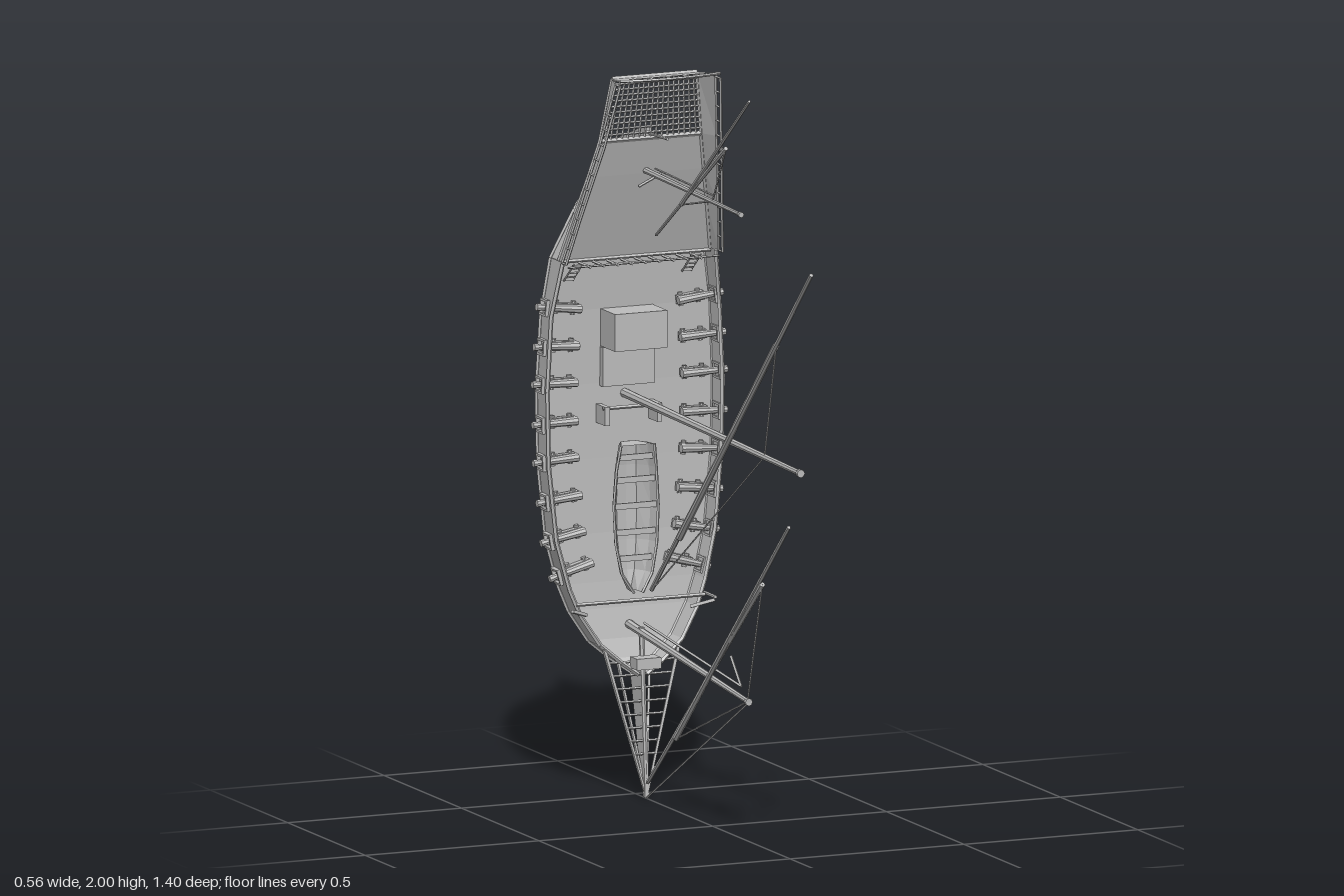
import * as THREE from 'three';

const grey = new THREE.MeshStandardMaterial({ color: 0xbcbcbc, flatShading: true, side: THREE.DoubleSide });
grey.name = 'plain grey';

const V = (p) => new THREE.Vector3(...p);
function add(parent, name, geometry) {
  const mesh = new THREE.Mesh(geometry, grey);
  mesh.name = name;
  parent.add(mesh);
  return mesh;
}
function box(parent, name, size, pos) {
  const m = add(parent, name, new THREE.BoxGeometry(...size));
  m.position.set(...pos);
  return m;
}
// Round or square bar between two points
function bar(parent, name, a, b, r1, r2 = r1, sides = 6) {
  const p = V(a), q = V(b), d = q.clone().sub(p);
  const m = add(parent, name, new THREE.CylinderGeometry(r2, r1, d.length(), sides));
  m.position.copy(p).add(q).multiplyScalar(0.5);
  m.quaternion.setFromUnitVectors(new THREE.Vector3(0, 1, 0), d.normalize());
  return m;
}
function chain(parent, name, pts, r, sides = 4) {
  for (let i = 1; i < pts.length; i++) bar(parent, name, pts[i - 1], pts[i], r, r, sides);
}
// Skin stretched over equal-length rows of points
function loft(parent, name, rows) {
  const n = rows[0].length, index = [];
  for (let i = 0; i < rows.length - 1; i++)
    for (let j = 0; j < n - 1; j++) {
      const a = i * n + j, b = a + n;
      index.push(a, a + 1, b, a + 1, b + 1, b);
    }
  const g = new THREE.BufferGeometry();
  g.setAttribute('position', new THREE.Float32BufferAttribute(rows.flat(2), 3));
  g.setIndex(index);
  g.computeVertexNormals();
  return add(parent, name, g);
}
// Thin plate in the z-y plane
function plate(parent, name, zy, t) {
  const s = new THREE.Shape(zy.map(([z, y]) => new THREE.Vector2(-z, y)));
  const g = new THREE.ExtrudeGeometry(s, { depth: t, bevelEnabled: false });
  g.translate(0, 0, -t / 2).rotateY(Math.PI / 2);
  return add(parent, name, g);
}

// Hull stations: y, half breadth, keel z, wale z, rail z, sharpness
const stations = [
  [0.335, 0.012, -0.51, -0.5, -0.45, 1], [0.37, 0.06, -0.575, -0.52, -0.452, 1.4],
  [0.42, 0.118, -0.645, -0.535, -0.46, 1.5], [0.5, 0.168, -0.685, -0.55, -0.475, 1.3],
  [0.57, 0.195, -0.698, -0.558, -0.485, 1.1], [0.7, 0.228, -0.7, -0.565, -0.495, 1],
  [0.9, 0.248, -0.7, -0.568, -0.5, 1], [1.1, 0.252, -0.7, -0.568, -0.5, 1],
  [1.3, 0.242, -0.7, -0.562, -0.498, 1.2], [1.45, 0.22, -0.7, -0.55, -0.472, 1.7],
  [1.58, 0.16, -0.7, -0.53, -0.43, 2.5], [1.7, 0.06, -0.7, -0.505, -0.4, 3.5],
  [1.755, 0.009, -0.545, -0.486, -0.38, 2],
];
// Linear lookup through [y, value...] rows
function at(rows, y, k) {
  let i = 1;
  while (i < rows.length - 1 && rows[i][0] < y) i++;
  const a = rows[i - 1], b = rows[i];
  return a[k] + (b[k] - a[k]) * (y - a[0]) / (b[0] - a[0]);
}
// Poop: y, floor half width, floor z, wall half width, wall top z, rail z
const poop = [
  [1.45, 0.218, -0.505, 0.225, -0.467, -0.44], [1.58, 0.19, -0.464, 0.203, -0.42, -0.396],
  [1.68, 0.167, -0.432, 0.186, -0.386, -0.358], [1.78, 0.146, -0.403, 0.168, -0.352, -0.322],
  [1.95, 0.122, -0.376, 0.144, -0.302, -0.272],
];

function buildHull(g) {
  const steps = 4;
  loft(g, 'hull', stations.map(([y, b, zk, zw, , q]) => {
    const row = [];
    for (let j = -steps; j <= steps; j++) {
      const t = (j / steps) * Math.PI / 2;
      row.push([Math.sign(j) * b * Math.abs(Math.sin(t)) ** q, y, zk + (zw - zk) * (1 - Math.cos(t))]);
    }
    return row;
  }));
  const front = stations.slice(0, 10);
  loft(g, 'mainDeck', front.map(([y, b, , zw]) => [[-b, y, zw], [b, y, zw]]));
  for (const s of [-1, 1]) {
    loft(g, 'bulwark', front.map(([y, b, , zw, zr]) => [[s * b, y, zw], [s * (b + 0.003), y, zr]]));
    chain(g, 'bulwarkRail', front.map(([y, b, , , zr]) => [s * b, y, zr]), 0.006);
    chain(g, 'wale', stations.map(([y, b, , zw]) => [s * (b + 0.002), y, zw]), 0.005);
  }
  plate(g, 'rudder', [[-0.7, 1.55], [-0.7, 1.71], [-0.42, 1.81], [-0.42, 1.775], [-0.5, 1.7]], 0.016);
}

function buildPoop(g) {
  const solid = poop.slice(0, 4);
  loft(g, 'poopDeck', solid.map(([y, w, f]) => [[-w, y, f], [w, y, f]]));
  for (const s of [-1, 1]) {
    loft(g, 'counter', solid.map(([y, w, f]) => {
      const low = Math.min(y, 1.755);
      return [[s * at(stations, low, 1), low, at(stations, low, 3)], [s * w, y, f]];
    }));
    loft(g, 'poopWall', poop.map(([y, w, f, v, t]) => [[s * w, y, f], [s * v, y, t]]));
    chain(g, 'poopWallCap', poop.map(([y, , , v, t]) => [s * v, y, t]), 0.004);
    chain(g, 'poopSill', poop.map(([y, w, f]) => [s * w, y, f]), 0.005);
    chain(g, 'poopRail', poop.map(([y, , , v, , r]) => [s * v, y, r]), 0.004);
    for (let i = 0; i <= 12; i++) {
      const y = 1.45 + i * 0.0416;
      const x = s * at(poop, y, 3);
      bar(g, 'poopBaluster', [x, y, at(poop, y, 4)], [x, y, at(poop, y, 5)], 0.003, 0.003, 4);
    }
    // Ladder up to the poop
    for (const dx of [-0.013, 0.013]) bar(g, 'ladderSide', [s * 0.17 + dx, 1.385, -0.55], [s * 0.17 + dx, 1.44, -0.485], 0.003, 0.003, 4);
    for (let i = 0; i < 4; i++) box(g, 'ladderStep', [0.026, 0.008, 0.005], [s * 0.17, 1.39 + i * 0.014, -0.543 + i * 0.016]);
  }
  // Break of the poop with its post rail
  loft(g, 'poopBulkhead', [[[-0.218, 1.45, -0.55], [0.218, 1.45, -0.55]], [[-0.218, 1.45, -0.505], [0.218, 1.45, -0.505]]]);
  bar(g, 'breakBeam', [-0.218, 1.445, -0.505], [0.218, 1.445, -0.505], 0.005, 0.005, 4);
  bar(g, 'breakRail', [-0.218, 1.44, -0.445], [0.218, 1.44, -0.445], 0.003, 0.003, 4);
  for (let i = -4; i <= 4; i++) bar(g, 'breakPost', [i * 0.04, 1.44, -0.505], [i * 0.04, 1.44, -0.43], 0.004, 0.004, 4);
  // Open grating under the overhang
  for (const y of [1.78, 1.95]) {
    const w = at(poop, y, 1), z = at(poop, y, 2);
    bar(g, 'gratingBeam', [-w, y, z], [w, y, z], 0.007, 0.007, 4);
  }
  for (let i = -8; i <= 8; i++)
    bar(g, 'gratingBar', [i * 0.0164, 1.78, -0.403], [i * 0.014, 1.95, -0.376], 0.0035, 0.0035, 4);
  for (let i = 1; i < 11; i++) {
    const y = 1.78 + i * 0.01545, w = at(poop, y, 1), z = at(poop, y, 2);
    bar(g, 'gratingCrossbar', [-w, y, z], [w, y, z], 0.0035, 0.0035, 4);
  }
  // Transom board and arched taffrail
  loft(g, 'transom', [[[-0.122, 1.95, -0.376], [0.122, 1.95, -0.376]], [[-0.144, 1.96, -0.302], [0.144, 1.96, -0.302]]]);
  const arch = (i) => [i * 0.024, 1.963, -0.254 - 0.02 * (i / 6) ** 2];
  const pts = [];
  for (let i = -6; i <= 6; i++) {
    pts.push(arch(i));
    if (i % 2 === 0) bar(g, 'taffrailPost', [i * 0.024, 1.96, -0.302], arch(i), 0.003, 0.003, 4);
  }
  chain(g, 'taffrail', pts, 0.004);
  bar(g, 'tiller', [0, 1.79, -0.41], [0, 1.795, -0.29], 0.004);
}

function buildBeak(g) {
  const tip = [0, 0.01, -0.428];
  plate(g, 'beakKnee', [[-0.54, 0.36], [-0.515, 0.31], [-0.47, 0.13], [-0.435, 0.01], [-0.422, 0.01], [-0.45, 0.36]], 0.012);
  for (const s of [-1, 1]) {
    bar(g, 'beakRail', [s * 0.108, 0.41, -0.46], tip, 0.006, 0.004, 4);
    bar(g, 'beakLowerRail', [s * 0.045, 0.36, -0.51], tip, 0.005, 0.004, 4);
  }
  for (let i = 1; i <= 8; i++) {
    const y = 0.09 + i * 0.035, w = 0.27 * (y - 0.01), z = -0.428 - 0.08 * (y - 0.01);
    bar(g, 'beakRung', [-w, y, z], [w, y, z], 0.0035, 0.0035, 4);
  }
  bar(g, 'bowsprit', [0, 0.46, -0.46], [0, 0.05, -0.43], 0.008, 0.005);
  box(g, 'bowBlock', [0.07, 0.03, 0.045], [0, 0.37, -0.432]);
  // Cross beam with catheads and anchor
  bar(g, 'catBeam', [-0.18, 0.53, -0.475], [0.19, 0.53, -0.475], 0.005, 0.005, 4);
  for (const s of [-1, 1]) bar(g, 'cathead', [s * 0.15, 0.5, -0.48], [s * 0.205, 0.52, -0.445], 0.006, 0.006, 4);
  bar(g, 'anchorShank', [0.2, 0.53, -0.43], [0.2, 0.53, -0.55], 0.005);
  bar(g, 'anchorArms', [0.2, 0.495, -0.54], [0.2, 0.56, -0.54], 0.005);
}

function buildGuns(g) {
  [1.32, 1.215, 1.115, 1.008, 0.907, 0.8, 0.695, 0.6].forEach((y) => {
    const b = at(stations, y, 1), slope = (at(stations, y + 0.05, 1) - at(stations, y - 0.05, 1)) / 0.1;
    for (const s of [-1, 1]) {
      const gun = new THREE.Group();
      gun.name = 'gun';
      bar(gun, 'barrel', [-0.1, 0, 0], [0.028, 0, 0], 0.012, 0.008, 8);
      bar(gun, 'muzzle', [0.018, 0, 0], [0.029, 0, 0], 0.01, 0.01, 8);
      box(gun, 'carriage', [0.075, 0.024, 0.018], [-0.06, 0, -0.012]);
      for (const x of [-0.085, -0.035])
        bar(gun, 'axle', [x, -0.018, -0.018], [x, 0.018, -0.018], 0.007, 0.007, 8);
      // Frame around the gun port
      for (const k of [-0.019, 0.019]) {
        box(gun, 'portJamb', [0.014, 0.006, 0.044], [0.004, k, 0]);
        box(gun, 'portSill', [0.014, 0.044, 0.006], [0.004, 0, k]);
      }
      gun.position.set(s * b, y, -0.537);
      gun.rotation.z = s > 0 ? -Math.atan(slope) : Math.PI + Math.atan(slope);
      g.add(gun);
    }
  });
}

function buildDeckGear(g) {
  box(g, 'deckHouse', [0.15, 0.1, 0.095], [0.003, 1.25, -0.515]);
  box(g, 'hatch', [0.15, 0.105, 0.02], [0.003, 1.145, -0.558]);
  bar(g, 'bittBeam', [-0.085, 1.04, -0.52], [0.085, 1.04, -0.52], 0.005, 0.005, 4);
  for (const x of [-0.075, 0.075]) box(g, 'bittPost', [0.014, 0.05, 0.06], [x, 1.02, -0.54]);
  // Ship's boat
  const boat = new THREE.Group();
  boat.name = 'boat';
  const ribs = [[0.55, 0.012, -0.47], [0.6, 0.043, -0.478], [0.68, 0.059, -0.483], [0.78, 0.064, -0.485], [0.88, 0.057, -0.482], [0.945, 0.048, -0.474]];
  loft(boat, 'boatHull', ribs.map(([y, w, z]) =>
    [-1, -0.85, -0.45, 0, 0.45, 0.85, 1].map((k) => [k * w, y, z - 0.065 * (1 - k ** 4)])));
  for (const s of [-1, 1]) chain(boat, 'boatGunwale', ribs.map(([y, w, z]) => [s * w, y, z]), 0.004);
  loft(boat, 'boatTransom', [[[-0.048, 0.945, -0.474], [0.048, 0.945, -0.474]], [[-0.022, 0.945, -0.536], [0.022, 0.945, -0.536]]]);
  for (const y of [0.64, 0.71, 0.78, 0.85, 0.91]) box(boat, 'boatThwart', [at(ribs, y, 1) * 1.9, 0.016, 0.005], [0, y, -0.493]);
  boat.position.x = -0.004;
  g.add(boat);
}

// Masts, two-piece slanting yards and ropes, given as [z, y]
const rigs = [
  { name: 'fore', mast: [[-0.54, 0.455], [0.235, 0.38]], r: 0.012, yardA: [[0.55, 0.905], [-0.19, 0.21]], yardB: [[0.365, 0.72], [-0.375, 0.06]], hitch: [0.225, 0.38], foot: [-0.19, 0.21] },
  { name: 'main', mast: [[-0.57, 1.068], [0.57, 1.05]], r: 0.013, yardA: [[0.695, 1.605], [-0.165, 0.75]], yardB: [[0.455, 1.375], [-0.35, 0.58]], hitch: [0.335, 1.055], foot: [-0.35, 0.58] },
  { name: 'mizzen', mast: [[-0.44, 1.687], [0.185, 1.675]], r: 0.009, yardA: [[0.295, 2.0], [-0.155, 1.645]], yardB: [[0.13, 1.845], [-0.32, 1.535]], hitch: [0, 1.68], foot: [-0.155, 1.645] },
];
function buildRig(g) {
  const p = (x, [z, y]) => [x, y, z];
  for (const { name, mast, r, yardA, yardB, hitch, foot } of rigs) {
    bar(g, name + 'Mast', p(0, mast[0]), p(0, mast[1]), r, r * 0.6, 8);
    bar(g, name + 'Masthead', p(0, [mast[1][0] - 0.012, mast[1][1]]), p(0, mast[1]), r * 0.85, r * 0.85, 8);
    bar(g, name + 'UpperYard', p(-0.026, yardA[0]), p(-0.022, yardA[1]), r * 0.45, r * 0.7);
    bar(g, name + 'LowerYard', p(-0.02, yardB[0]), p(-0.02, yardB[1]), r * 0.7, r * 0.45);
    chain(g, name + 'Rope', [p(-0.02, yardB[0]), p(0, hitch), p(-0.018, foot)], 0.0025);
  }
  chain(g, 'forestay', [[0, 0.375, 0.225], [0, 0.01, -0.425]], 0.003);
  chain(g, 'foreTackle', [[0.008, 0.48, 0.1], [0.008, 0.41, 0.165], [0.008, 0.47, -0.46]], 0.004);
  bar(g, 'mizzenCrossbar', [-0.03, 1.65, -0.41], [0.035, 1.68, -0.41], 0.004);
  bar(g, 'mizzenTackle', [0.012, 1.69, -0.02], [0.005, 1.7, -0.38], 0.003);
}

export function createModel() {
  const ship = new THREE.Group();
  ship.name = 'sailingShip';
  for (const [name, build] of [['hullGroup', buildHull], ['poopGroup', buildPoop], ['beakGroup', buildBeak],
    ['gunGroup', buildGuns], ['deckGear', buildDeckGear], ['rigging', buildRig]]) {
    const g = new THREE.Group();
    g.name = name;
    build(g);
    ship.add(g);
  }
  return ship;
}
